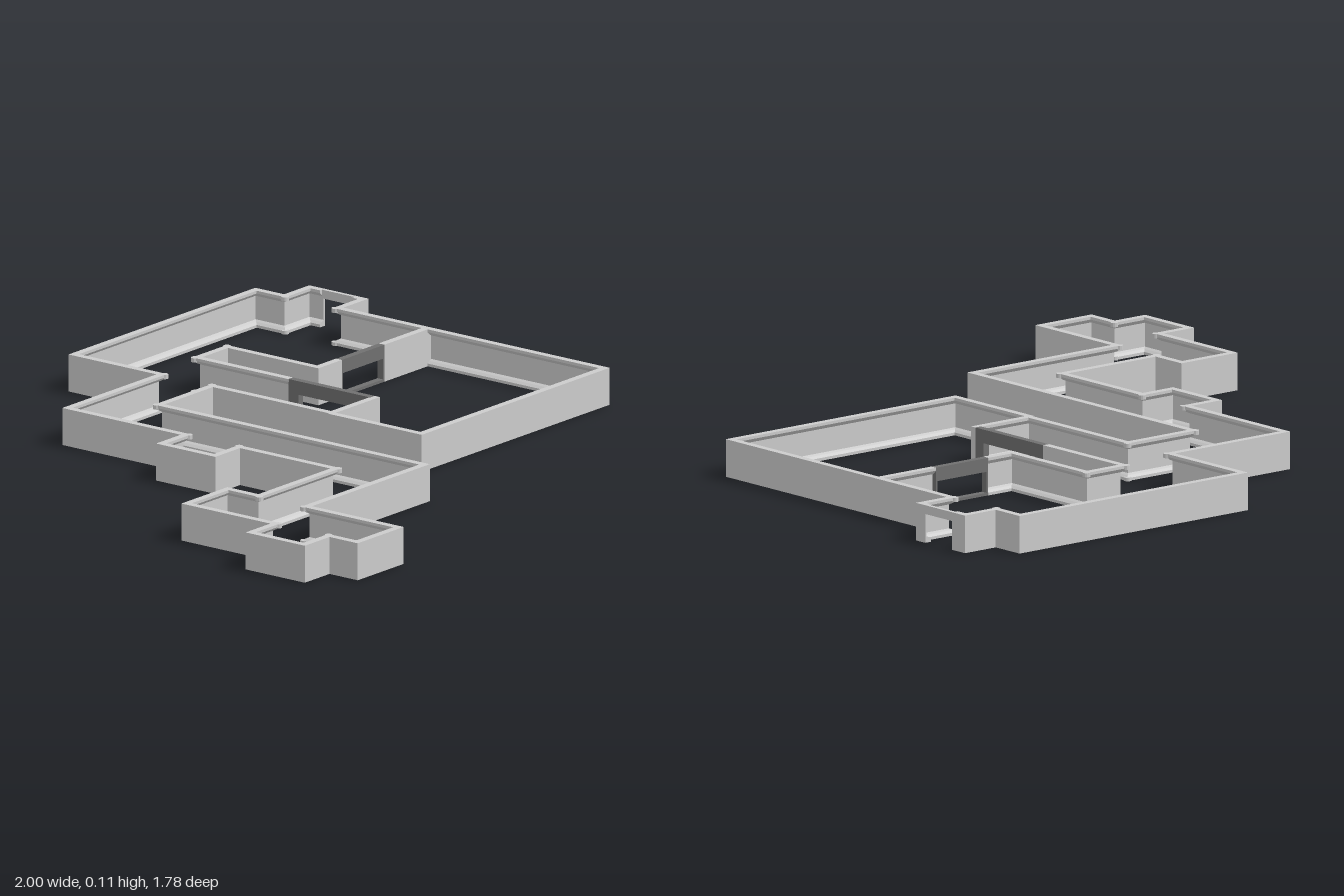
import * as THREE from 'three';

const H = 0.107, DEPTH = 0.021;

export function createModel() {
  const group = new THREE.Group();
  const grey = new THREE.MeshStandardMaterial({ color: 0xcccccc, side: THREE.DoubleSide, flatShading: true });
  const dark = new THREE.MeshStandardMaterial({ color: 0x707070, side: THREE.DoubleSide, flatShading: true });

  const add = (geo, mat, name, x = 0, y = 0, z = 0) => {
    const mesh = new THREE.Mesh(geo, mat);
    mesh.name = name;
    mesh.position.set(x, y, z);
    group.add(mesh);
  };

  // Wall section: thin sheet with a cornice above and a skirting below, on the room side
  const section = new THREE.Shape([
    [0, 0], [DEPTH, 0], [DEPTH, 0.008], [0.013, 0.014], [0.005, 0.018],
    [0.005, 0.086], [0.012, 0.09], [DEPTH, 0.099], [DEPTH, H], [0, H],
  ].map(([x, y]) => new THREE.Vector2(x, y)));

  // Sweep the section along a clockwise plan path with mitred corners
  function buildWalls(plan, closed, name, gaps = []) {
    const pts = plan.map(([x, z]) => new THREE.Vector2(x, z));
    const n = pts.length;
    const edges = closed ? n : n - 1;
    const normal = (i) => {
      const d = pts[(i + 1) % n].clone().sub(pts[i]).normalize();
      return new THREE.Vector2(-d.y, d.x);
    };
    const mitre = (i) => {
      if (!closed && i === 0) return normal(0);
      if (!closed && i === n - 1) return normal(n - 2);
      const a = normal((i + n - 1) % n), b = normal(i);
      return a.clone().add(b).divideScalar(1 + a.dot(b));
    };
    for (let i = 0; i < edges; i++) {
      if (gaps.includes(i)) continue;
      const j = (i + 1) % n, a = pts[i], b = pts[j], ma = mitre(i), mb = mitre(j);
      const geo = new THREE.ExtrudeGeometry(section, { depth: 1, bevelEnabled: false });
      const p = geo.attributes.position;
      for (let k = 0; k < p.count; k++) {
        const d = p.getX(k), y = p.getY(k);
        const end = p.getZ(k) < 0.5 ? b.clone().addScaledVector(mb, d) : a.clone().addScaledVector(ma, d);
        p.setXYZ(k, end.x, y, end.y);
      }
      geo.computeVertexNormals();
      add(geo, grey, name);

      // Rounded trim ends on corners that project into the room
      const na = normal(i), nb = normal(j);
      if ((closed || j < n - 1) && na.x * nb.y - na.y * nb.x < -0.5) {
        const c = b.clone().addScaledVector(mb, DEPTH * 0.75);
        for (const [y, h] of [[H - 0.006, 0.012], [0.005, 0.01]])
          add(new THREE.CylinderGeometry(0.011, 0.011, h, 12), grey, 'cornerTrim', c.x, y, c.y);
      }
    }
  }

  // Upper hall, winding corridor and end room, with gaps for three openings
  buildWalls([
    [0.055, -0.892], [0.888, -0.892], [0.888, -0.79], [1, -0.79], [1, -0.735], [1, -0.62],
    [1, -0.58], [0.888, -0.58], [0.888, -0.265], [0.675, -0.265], [0.485, -0.265],
    [0.38, -0.265], [0.38, -0.585], [0.267, -0.585], [0.267, -0.265], [0.267, 0.025],
    [0.267, 0.043], [0.055, 0.043], [0.055, -0.38], [-0.16, -0.38], [-0.16, 0.56],
    [-0.685, 0.56], [-0.685, 0.885], [-0.89, 0.885], [-0.89, 0.785], [-1, 0.785],
    [-1, 0.575], [-0.89, 0.575], [-0.89, 0.26], [-0.685, 0.26], [-0.685, 0.37],
    [-0.365, 0.37], [-0.365, 0.05], [-0.475, 0.05], [-0.475, -0.16], [-0.365, -0.16],
    [-0.365, -0.58], [0.055, -0.58],
  ], true, 'hallWall', [4, 9, 14]);

  // Lower room
  buildWalls([[0.888, -0.265], [0.888, 0.364], [0.05, 0.364], [0.05, 0.03]], false, 'lowerRoomWall');

  // Lintel over the alcove doorway
  add(new THREE.BoxGeometry(0.012, 0.025, 0.115), grey, 'doorLintel', 0.994, H - 0.0125, -0.6775);

  // Dark wall panels with a wide opening
  function panel(length, hole, x, z, turn) {
    const s = new THREE.Shape([[-length / 2, 0], [length / 2, 0], [length / 2, H], [-length / 2, H]]
      .map(([u, v]) => new THREE.Vector2(u, v)));
    s.holes.push(new THREE.Path([[-hole / 2, 0.008], [-hole / 2, 0.068], [hole / 2, 0.068], [hole / 2, 0.008]]
      .map(([u, v]) => new THREE.Vector2(u, v))));
    const geo = new THREE.ExtrudeGeometry(s, { depth: 0.02, bevelEnabled: false });
    geo.translate(0, 0, -0.01).rotateY(turn);
    add(geo, dark, 'openingPanel', x, 0, z);
  }
  panel(0.19, 0.178, 0.58, -0.275, 0);
  panel(0.29, 0.22, 0.257, -0.12, Math.PI / 2);

  return group;
}
